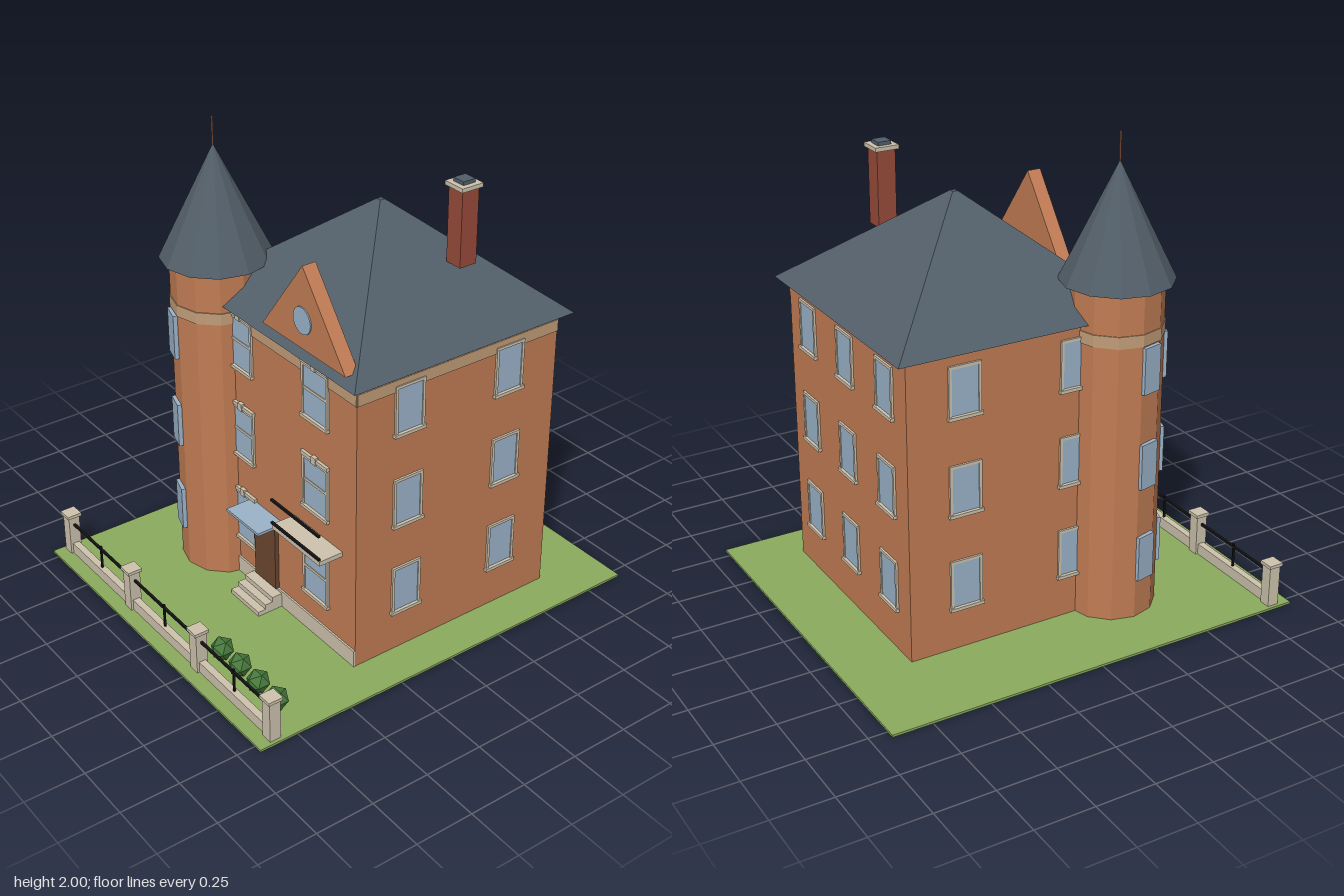
import * as THREE from 'three';

const mat = (name, color, flat = false) => {
  const m = new THREE.MeshStandardMaterial({ color, flatShading: flat });
  m.name = name;
  return m;
};

export function createModel() {
  const brick = mat('brick', 0xc17c54, true);
  const slate = mat('slate', 0x525e68, true);
  const glass = mat('glass', 0x9bb3c9);
  const stone = mat('stone', 0xcdc2ad);
  const wood = mat('wood', 0x6a4630);
  const chimneyBrick = mat('chimneyBrick', 0x974b39);
  const hedge = mat('hedge', 0x47793c, true);
  const grass = mat('grass', 0x8bab5e);
  const iron = mat('iron', 0x161616);
  const bandStone = mat('bandStone', 0xc19c78, true);

  const model = new THREE.Group();
  model.name = 'towerHouse';

  const add = (name, geo, m, x = 0, y = 0, z = 0, parent = model) => {
    const mesh = new THREE.Mesh(geo, m);
    mesh.name = name;
    mesh.position.set(x, y, z);
    parent.add(mesh);
    return mesh;
  };
  // Box given by its ranges along x, y and z
  const box = (name, m, [x0, x1], [y0, y1], [z0, z1], parent = model) =>
    add(name, new THREE.BoxGeometry(x1 - x0, y1 - y0, z1 - z0), m,
      (x0 + x1) / 2, (y0 + y1) / 2, (z0 + z1) / 2, parent);
  const group = (name, x, y, z, turn = 0) => {
    const g = new THREE.Group();
    g.name = name;
    g.position.set(x, y, z);
    g.rotation.y = turn;
    model.add(g);
    return g;
  };

  const CX = 0.105, CZ = -0.145, LEFT = -0.4, RIGHT = 0.61, FRONT = 0.345, BACK = -0.635;
  const floors = [0.19, 0.6, 1.01];

  // Lawn and main block
  box('lawn', grass, [-0.79, 0.79], [0, 0.01], [-0.92, 0.92]);
  box('walls', brick, [LEFT, RIGHT], [0.005, 1.28], [BACK, FRONT]);
  box('plinth', stone, [-0.2, RIGHT], [0.01, 0.085], [FRONT, FRONT + 0.008]);
  box('frontBand', bandStone, [-0.2, RIGHT], [1.2, 1.25], [FRONT, FRONT + 0.004]);
  box('rightBand', bandStone, [RIGHT, RIGHT + 0.004], [1.2, 1.25], [BACK, FRONT]);

  // Pyramid roof
  const roof = new THREE.CylinderGeometry(0.015, Math.SQRT1_2, 0.43, 4);
  roof.rotateY(Math.PI / 4);
  add('roof', roof, slate, CX, 1.495, -0.148).scale.set(1.09, 1, 1.07);

  // Window facing +z in its own group, standing on y = 0
  function windowUnit(name, x, y, z, turn, w, h, ornate) {
    const g = group(name, x, y, z, turn);
    const a = w / 2, t = 0.012;
    box('glass', glass, [-a + t, a - t], [t, h - t], [0, 0.005], g);
    for (const s of [-1, 1]) {
      const c = s * (a - t / 2);
      box('jamb', stone, [c - t / 2, c + t / 2], [0, h], [0, 0.009], g);
    }
    box('head', stone, [-a, a], [h - t, h], [0, 0.009], g);
    box('sill', stone, [-a - 0.005, a + 0.005], [-0.004, 0.01], [0, 0.016], g);
    if (ornate) {
      box('crossBar', stone, [-a + t, a - t], [0.122, 0.134], [0, 0.008], g);
      box('lintel', stone, [-a - 0.004, a + 0.004], [h, h + 0.016], [0, 0.013], g);
      box('keystone', stone, [-0.014, 0.014], [h - 0.008, h + 0.024], [0, 0.016], g);
    }
  }
  for (const y of floors) {
    for (const s of [-1, 1]) {
      windowUnit('frontWindow', CX + s * 0.25, y, FRONT, 0, 0.165, 0.235, true);
      windowUnit('rightWindow', RIGHT, y, CZ + s * 0.245, Math.PI / 2, 0.14, 0.215);
      windowUnit('leftWindow', LEFT, y, CZ + s * 0.245, -Math.PI / 2, 0.14, 0.215);
    }
    for (const i of [-1, 0, 1]) {
      windowUnit('backWindow', CX + i * 0.335, y, BACK, Math.PI, 0.14, 0.215);
    }
  }

  // Corner tower with cone and spire
  const TX = -0.37, TZ = 0.3;
  add('tower', new THREE.CylinderGeometry(0.19, 0.19, 1.415, 12), brick, TX, 0.7125, TZ);
  add('towerBand', new THREE.CylinderGeometry(0.194, 0.194, 0.05, 12), bandStone, TX, 1.225, TZ);
  add('towerRoof', new THREE.ConeGeometry(0.23, 0.47, 12), slate, TX, 1.655, TZ);
  add('spire', new THREE.CylinderGeometry(0.004, 0.004, 0.13, 6), brick, TX, 1.935, TZ);
  for (const deg of [-17, -77]) {
    const g = group('towerWindows', TX, 0, TZ, THREE.MathUtils.degToRad(deg));
    for (const y of floors) {
      box('towerWindow', glass, [-0.043, 0.043], [y - 0.01, y + 0.185], [0.175, 0.2], g);
    }
  }

  // Front gable with round window
  const tri = new THREE.Shape([
    new THREE.Vector2(-0.262, 0), new THREE.Vector2(0.262, 0), new THREE.Vector2(0, 0.343),
  ]);
  add('gable', new THREE.ExtrudeGeometry(tri, { depth: 0.06, bevelEnabled: false }), brick, 0.315, 1.317, 0.313);
  const round = new THREE.CylinderGeometry(0.055, 0.055, 0.006, 24);
  round.rotateX(Math.PI / 2);
  add('gableWindow', round, glass, 0.315, 1.437, 0.375);

  // Chimney
  const chimney = group('chimney', 0.405, 0, -0.305);
  box('stack', chimneyBrick, [-0.04, 0.04], [1.512, 1.83], [-0.04, 0.04], chimney);
  box('cap', stone, [-0.051, 0.051], [1.828, 1.845], [-0.051, 0.051], chimney);
  box('flue', slate, [-0.029, 0.029], [1.845, 1.86], [-0.029, 0.029], chimney);

  // Entrance: door, canopy, steps
  box('door', wood, [-0.055, 0.092], [0.085, 0.4], [FRONT, FRONT + 0.018]);
  box('canopy', glass, [-0.095, 0.13], [0.413, 0.425], [FRONT, 0.47]);
  [0.47, 0.435, 0.4].forEach((z, i) =>
    box('step', stone, [-0.08, 0.12], [0.01, 0.03 + i * 0.022], [FRONT, z]));

  // Balcony slab and rails
  box('balconySlab', stone, [0.208, 0.525], [0.49, 0.51], [FRONT, 0.455]);
  for (const y of [0.52, 0.627]) {
    box('balconyRail', iron, [0.208, 0.525], [y - 0.005, y + 0.005], [0.45, 0.46]);
  }

  // Front fence
  const FZ = 0.842;
  box('fenceWall', stone, [-0.755, 0.755], [0.01, 0.058], [FZ - 0.015, FZ + 0.015]);
  box('fenceRail', iron, [-0.75, 0.75], [0.145, 0.155], [FZ - 0.005, FZ + 0.005]);
  for (const x of [-0.75, -0.25, 0.25, 0.75]) {
    box('fencePost', stone, [x - 0.025, x + 0.025], [0.01, 0.19], [FZ - 0.025, FZ + 0.025]);
    box('fenceCap', stone, [x - 0.032, x + 0.032], [0.188, 0.202], [FZ - 0.032, FZ + 0.032]);
  }
  for (const x of [-0.5, 0, 0.5]) {
    box('fenceBar', iron, [x - 0.004, x + 0.004], [0.058, 0.165], [FZ - 0.004, FZ + 0.004]);
  }

  // Row of shrubs
  for (let i = 0; i < 4; i++) {
    add('shrub', new THREE.IcosahedronGeometry(0.05, 0), hedge, 0.255 + i * 0.125, 0.058, 0.735);
  }
  return model;
}
